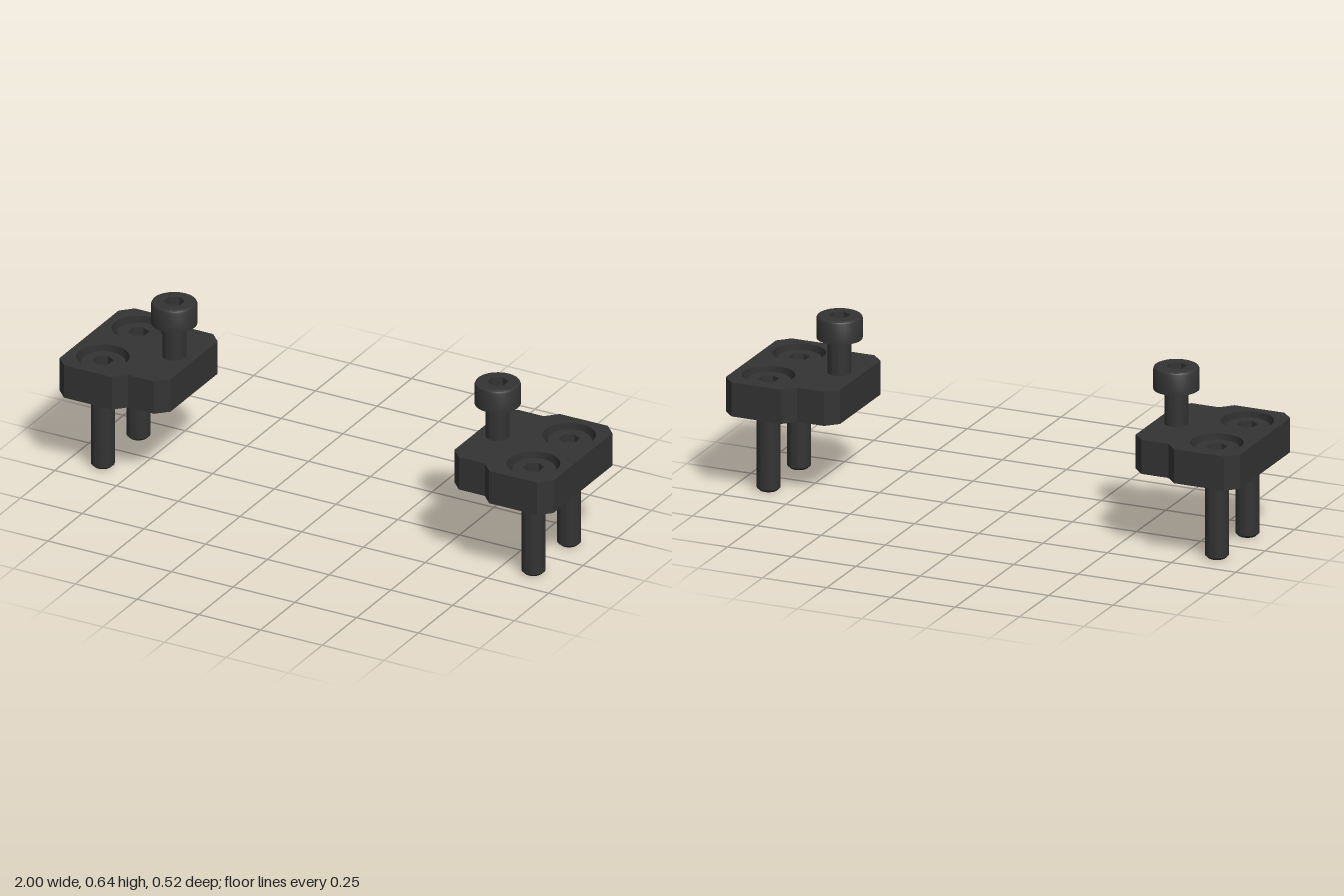
import * as THREE from 'three';
import { toCreasedNormals } from 'three/addons/utils/BufferGeometryUtils.js';

const material = new THREE.MeshStandardMaterial({ color: 0x333333 });
const PLATE_BOTTOM = 0.302, PLATE_TOP = 0.43, SEAT = 0.33;
const SHANK_R = 0.0425, HEAD_R = 0.082, HEAD_H = 0.085, HEX_R = 0.038, BORE_R = 0.095;
const BOLT_X = 0.872, BOLT_Z = 0.13;

function addMesh(parent, name, geometry) {
  const mesh = new THREE.Mesh(geometry, material);
  mesh.name = name;
  parent.add(mesh);
  return mesh;
}

function circleHole(x, y, r) {
  return new THREE.Path().absarc(x, y, r, 0, Math.PI * 2, true);
}

// Extrudes a plan-view shape upwards from y = 0
function slab(shape, height) {
  const g = new THREE.ExtrudeGeometry(shape, { depth: height, bevelEnabled: false, curveSegments: 32 });
  return toCreasedNormals(g.rotateX(-Math.PI / 2), 0.6);
}

// Socket head bolt; y = 0 is the underside of the head
function makeBolt(name, length) {
  const bolt = new THREE.Group();
  bolt.name = name;

  // Shank with chamfered tip, head with rounded top edge
  const profile = [
    [0, -length], [0.032, -length], [SHANK_R, -length + 0.01], [SHANK_R, -0.004],
    [SHANK_R + 0.004, 0], [HEAD_R, 0], [HEAD_R, HEAD_H - 0.009],
    [HEAD_R - 0.003, HEAD_H - 0.003], [HEAD_R - 0.009, HEAD_H],
  ].map(([r, y]) => new THREE.Vector2(r, y));
  addMesh(bolt, 'boltBody', toCreasedNormals(new THREE.LatheGeometry(profile, 40), 0.5));

  // Flat head top pierced by the hexagon
  const top = new THREE.Shape().absarc(0, 0, HEAD_R - 0.009, 0, Math.PI * 2, false);
  const hex = [];
  for (let i = 0; i < 6; i++) {
    const a = Math.PI / 2 - i * Math.PI / 3;
    hex.push(new THREE.Vector2(HEX_R * Math.cos(a), HEX_R * Math.sin(a)));
  }
  top.holes.push(new THREE.Path(hex));
  addMesh(bolt, 'headTop', new THREE.ShapeGeometry(top, 20).rotateX(-Math.PI / 2)).position.y = HEAD_H;

  // Hexagonal socket walls (turned inside out) and floor
  const depth = 0.045;
  const walls = new THREE.CylinderGeometry(HEX_R, HEX_R, depth, 6, 1, true);
  const index = walls.index;
  for (let i = 0; i < index.count; i += 3) {
    const a = index.getX(i);
    index.setX(i, index.getX(i + 1));
    index.setX(i + 1, a);
  }
  addMesh(bolt, 'socketWalls', toCreasedNormals(walls, 0.1)).position.y = HEAD_H - depth / 2;
  const floor = new THREE.CircleGeometry(HEX_R, 6, Math.PI / 2).rotateX(-Math.PI / 2);
  addMesh(bolt, 'socketFloor', floor).position.y = HEAD_H - depth;
  return bolt;
}

function makeClamp(name) {
  const clamp = new THREE.Group();
  clamp.name = name;

  // Chamfered, stepped plate: half outline mirrored across z
  const half = [[0.575, 0.172], [0.617, 0.215], [0.722, 0.215], [0.764, 0.258], [0.958, 0.258], [1, 0.215]];
  const outline = [...half.map(([x, z]) => [x, -z]), ...half.slice().reverse()];
  const shape = new THREE.Shape(outline.map(([x, z]) => new THREE.Vector2(x, z)));
  for (const s of [-1, 1]) shape.holes.push(circleHole(BOLT_X, s * BOLT_Z, BORE_R));
  addMesh(clamp, 'plate', slab(shape, PLATE_TOP - PLATE_BOTTOM)).position.y = PLATE_BOTTOM;

  // Counterbore floors and the two mounting bolts seated in them
  for (const s of [-1, 1]) {
    const ring = new THREE.Shape().absarc(0, 0, BORE_R, 0, Math.PI * 2, false);
    ring.holes.push(circleHole(0, 0, SHANK_R + 0.004));
    addMesh(clamp, 'counterboreFloor', slab(ring, SEAT - PLATE_BOTTOM))
      .position.set(BOLT_X, PLATE_BOTTOM, s * BOLT_Z);
    const bolt = makeBolt('mountingBolt', SEAT);
    bolt.position.set(BOLT_X, SEAT, s * BOLT_Z);
    clamp.add(bolt);
  }

  // Raised clamping bolt near the inner edge
  const raised = makeBolt('clampingBolt', 0.24);
  raised.position.set(0.655, 0.56, 0);
  clamp.add(raised);
  return clamp;
}

export function createModel() {
  const model = new THREE.Group();
  model.name = 'clampPair';
  const left = makeClamp('leftClamp');
  const right = makeClamp('rightClamp');
  right.rotation.y = Math.PI;
  model.add(left, right);
  return model;
}
